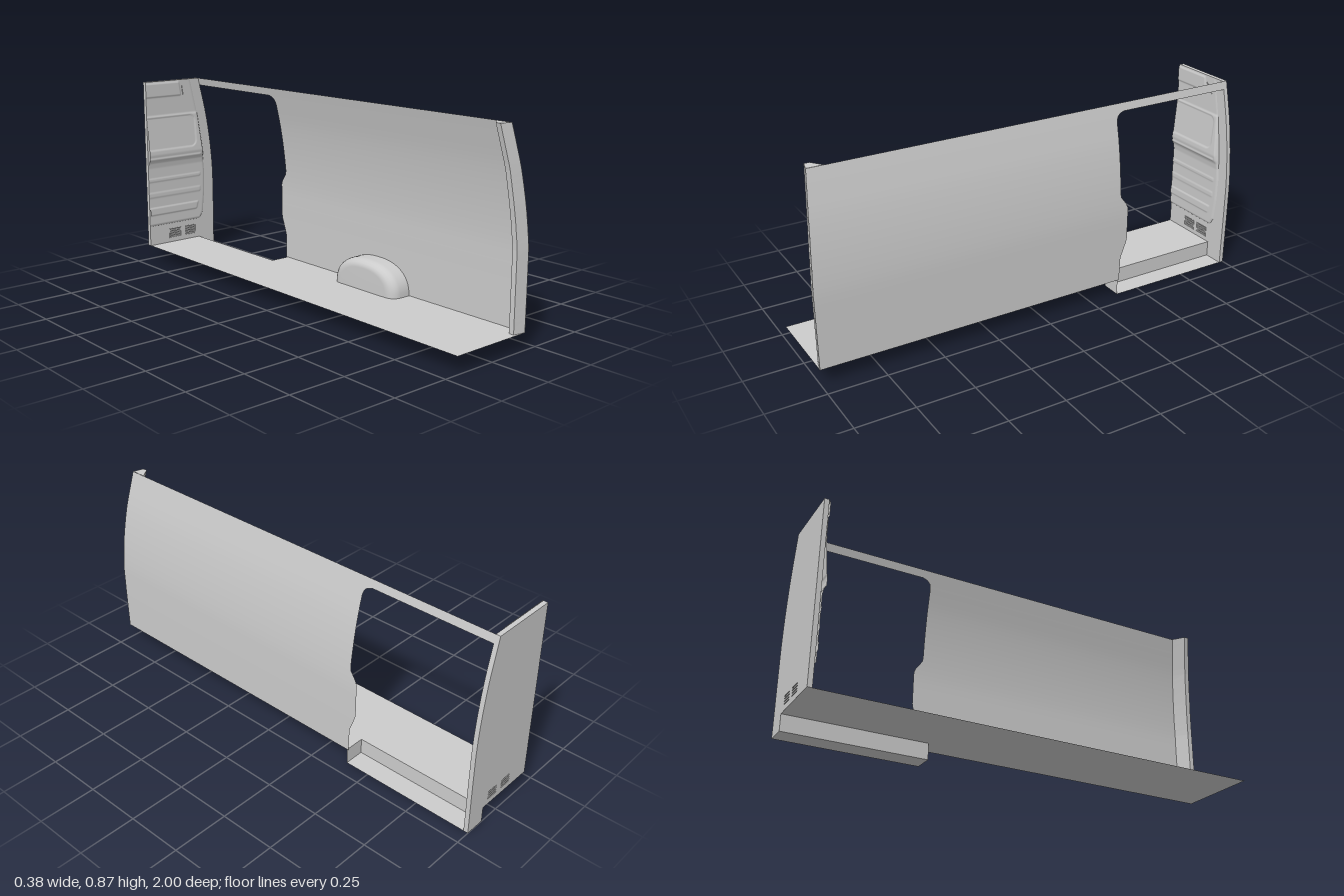
import * as THREE from 'three';

const material = new THREE.MeshStandardMaterial({ color: 0xcccccc, side: THREE.DoubleSide });
const FLOOR = 0.07, TOP = 0.865, IN = -0.19, OUT = 0.185, STEP_X = 0.095;
const DOOR_FRONT = -0.98, DOOR_REAR = -0.39;

// Piecewise linear lookup in [key, value] pairs
function lookup(table, k) {
  if (k <= table[0][0]) return table[0][1];
  for (let i = 1; i < table.length; i++) {
    const [a, va] = table[i - 1], [b, vb] = table[i];
    if (k <= b) return va + (vb - va) * (k - a) / (b - a);
  }
  return table[table.length - 1][1];
}
const smooth = THREE.MathUtils.smoothstep;

// Outward curve of the body side, as x over y
const sideCurve = new THREE.SplineCurve([[0.07, 0.185], [0.2, 0.186], [0.3, 0.186], [0.4, 0.185], [0.5, 0.178],
  [0.6, 0.166], [0.7, 0.149], [0.8, 0.126], [0.865, 0.11]].map(p => new THREE.Vector2(p[0], p[1])));
const sidePts = sideCurve.getPoints(60).map(p => [p.x, p.y]);
const sideX = y => lookup(sidePts, y);
// Tail end of the side, as z over y
const tailZ = y => lookup([[0.07, 1], [0.4, 1], [0.55, 0.991], [0.7, 0.979], [TOP, 0.96]], y);

// Surface through an nu x nv grid of points
function gridMesh(name, nu, nv, point) {
  const pos = [], idx = [];
  for (let j = 0; j <= nv; j++) for (let i = 0; i <= nu; i++) pos.push(...point(i / nu, j / nv));
  for (let j = 0; j < nv; j++) for (let i = 0; i < nu; i++) {
    const a = j * (nu + 1) + i, b = a + 1, c = a + nu + 1, d = c + 1;
    idx.push(a, b, d, a, d, c);
  }
  const g = new THREE.BufferGeometry();
  g.setAttribute('position', new THREE.Float32BufferAttribute(pos, 3));
  g.setIndex(idx);
  g.computeVertexNormals();
  return named(name, g);
}
function named(name, geometry) {
  const m = new THREE.Mesh(geometry, material);
  m.name = name;
  return m;
}
const poly = pts => new THREE.Shape(pts.map(p => new THREE.Vector2(p[0], p[1])));

// Distance to a rounded box (negative inside)
function roundBox(x, y, x0, x1, y0, y1, r) {
  const dx = Math.abs(x - (x0 + x1) / 2) - (x1 - x0) / 2 + r;
  const dy = Math.abs(y - (y0 + y1) / 2) - (y1 - y0) / 2 + r;
  return Math.hypot(Math.max(dx, 0), Math.max(dy, 0)) + Math.min(Math.max(dx, dy), 0) - r;
}

// Height of the pressed bulkhead panel above its plate
function pressing(x, y, edge) {
  let h = lookup([[0.165, 0], [0.172, 0.005], [0.45, 0.005], [0.475, 0.009], [0.49, 0.016], [0.515, 0.02],
    [0.53, 0.019], [0.695, 0.006], [0.703, 0.002], [TOP, 0.002]], y);
  const raise = (x1, y0, y1, amount, r = 0.006) =>
    h += amount * (1 - smooth(roundBox(x, y, -0.4, x1, y0, y1, r), -0.003, 0.002));
  raise(0.105, 0.382, 0.4, 0.002);
  raise(0.105, 0.305, 0.33, 0.002);
  raise(0.09 - (0.255 - y) * 0.25, 0.218, 0.255, 0.003);
  raise(0.105, 0.488, 0.498, 0.003, 0.004);
  raise(0.08, 0.537, 0.692, -0.003, 0.03);
  raise(-0.005 + (0.855 - y) * 0.15, 0.79, 0.857, 0.004);
  return 0.0006 + Math.max(h, 0) * (1 - smooth(x, edge - 0.008, edge));
}

export function createModel() {
  const model = new THREE.Group();
  model.name = 'vanCargoBay';

  // Curved body side, cut by the sliding door opening
  const doorEdge = [[0.07, -0.397], [0.18, -0.4], [0.26, -0.43], [0.42, -0.43], [0.47, -0.393], [0.79, -0.397],
    [0.81, -0.402], [0.822, -0.413], [0.83, -0.435]];
  const rows = [...Array.from({ length: 40 }, (_, i) => FLOOR + 0.72 * i / 40), 0.79, 0.8, 0.81, 0.817, 0.823, 0.827, 0.83];
  model.add(gridMesh('sideWall', 8, rows.length - 1, (u, v) => {
    const y = rows[Math.round(v * (rows.length - 1))], z0 = lookup(doorEdge, y);
    return [sideX(y), y, z0 + (tailZ(y) - z0) * u];
  }));
  model.add(gridMesh('roofRail', 8, 4, (u, v) => {
    const y = 0.83 + (TOP - 0.83) * v;
    return [sideX(y), y, DOOR_FRONT + (tailZ(y) - DOOR_FRONT) * u];
  }));

  // Rear corner pillar, tapering with height
  const pillarX = y => lookup([[0.07, 0.133], [0.4, 0.133], [0.5, 0.125], [0.6, 0.113], [0.7, 0.099], [TOP, 0.06]], y);
  const pillarSection = y => {
    const xo = sideX(y) - 0.001, xi = pillarX(y), z = tailZ(y);
    return [[xo, z - 0.07], [xi, z - 0.034], [xi, z - 0.012], [xo, z]];
  };
  const pillar = gridMesh('rearPillar', 3, 32, (u, v) => {
    const y = FLOOR + (TOP - FLOOR) * v, [x, z] = pillarSection(y)[Math.round(u * 3)];
    return [x, y, z];
  });
  pillar.geometry = pillar.geometry.toNonIndexed();
  pillar.geometry.computeVertexNormals();
  model.add(pillar);
  const cap = named('rearPillarCap', new THREE.ShapeGeometry(poly(pillarSection(TOP))));
  cap.rotation.x = Math.PI / 2;
  cap.position.y = TOP;
  model.add(cap);

  // Load floor with a notch for the entry step
  const floor = named('floor', new THREE.ShapeGeometry(poly([[IN, -1], [STEP_X, -1], [STEP_X, DOOR_REAR],
    [OUT, DOOR_REAR], [OUT, 1], [IN, 1]])));
  floor.rotation.x = Math.PI / 2;
  floor.position.y = FLOOR;
  model.add(floor);

  // Entry step: tread, riser and end wall
  const stepLength = DOOR_REAR + 1, stepWidth = OUT - STEP_X;
  const plane = (name, w, h, x, y, z, rx, ry) => {
    const m = named(name, new THREE.PlaneGeometry(w, h));
    m.position.set(x, y, z);
    m.rotation.set(rx, ry, 0);
    model.add(m);
  };
  plane('stepTread', stepWidth, stepLength, STEP_X + stepWidth / 2, 0, DOOR_REAR - stepLength / 2, -Math.PI / 2, 0);
  plane('stepRiser', stepLength, FLOOR, STEP_X, FLOOR / 2, DOOR_REAR - stepLength / 2, 0, Math.PI / 2);
  plane('stepEnd', stepWidth, FLOOR, STEP_X + stepWidth / 2, FLOOR / 2, DOOR_REAR, 0, 0);

  // Bulkhead plate following the side curve, with two sets of vent slots
  const plate = poly([[IN, FLOOR], [STEP_X, FLOOR], [STEP_X, 0], [OUT, 0],
    ...sidePts.map(([y, x]) => [x, y]), [IN, TOP]]);
  const vents = [-0.047, 0.041];
  const slot = (x, y, w, h) => {
    const p = new THREE.Path(), r = h / 2;
    p.absarc(x + w / 2 - r, y, r, -Math.PI / 2, Math.PI / 2);
    p.absarc(x - w / 2 + r, y, r, Math.PI / 2, Math.PI * 1.5);
    p.closePath();
    return p;
  };
  for (const x of vents) for (let i = 0; i < 4; i++) plate.holes.push(slot(x, 0.098 + i * 0.011, 0.056, 0.005));
  const bulkhead = named('bulkhead', new THREE.ExtrudeGeometry(plate, { depth: 0.02, bevelEnabled: false, curveSegments: 4 }));
  bulkhead.position.z = -1;
  model.add(bulkhead);

  // Raised rims around the vents
  for (const x of vents) {
    const rim = poly([[-0.034, 0.09], [0.034, 0.09], [0.034, 0.137], [-0.034, 0.137]]);
    rim.holes.push(poly([[-0.031, 0.093], [-0.031, 0.134], [0.031, 0.134], [0.031, 0.093]]));
    const m = named('ventRim', new THREE.ExtrudeGeometry(rim, { depth: 0.002, bevelEnabled: false }));
    m.position.set(x, 0, DOOR_FRONT);
    model.add(m);
  }

  // Pressed bulkhead panel with ribs, ledge and window recess
  const panelEdge = y => lookup([[0.165, 0.1], [0.2, 0.12], [0.3, 0.131], [0.4, 0.133], [0.5, 0.125], [0.6, 0.113],
    [0.68, 0.101], [0.7, 0.097], [TOP, 0.06]], y);
  model.add(gridMesh('bulkheadPanel', 64, 175, (u, v) => {
    const y = 0.165 + (TOP - 0.165) * v, edge = panelEdge(y), x = IN + (edge - IN) * u;
    return [x, y, DOOR_FRONT + pressing(x, y, edge)];
  }));

  // Small triangular gusset at the top of the bulkhead
  const gusset = named('bulkheadGusset', new THREE.ExtrudeGeometry(
    poly([[0.017, 0.79], [0.048, 0.79], [0.01, 0.835]]), { depth: 0.006, bevelEnabled: false }));
  gusset.position.z = DOOR_FRONT;
  model.add(gusset);

  // Wheel arch: rounded hump from the wall, narrowing to its inner face
  const archSection = [[0.184, 1], [0.133, 1], [0.12, 0.985], [0.108, 0.95], [0.098, 0.89], [0.093, 0.82], [0.091, 0.74], [0.091, 0]];
  model.add(gridMesh('wheelArch', 28, archSection.length - 1, (u, v) => {
    const [x, s] = archSection[Math.round(v * (archSection.length - 1))];
    const a = Math.PI * u, c = Math.cos(a), w = 0.185 * Math.min(s, 0.4 + 0.6 * s);
    return [x, FLOOR + 0.13 * s * Math.pow(Math.max(Math.sin(a), 0), 0.85),
      0.215 - w * Math.sign(c) * Math.pow(Math.abs(c), 0.85)];
  }));
  return model;
}
